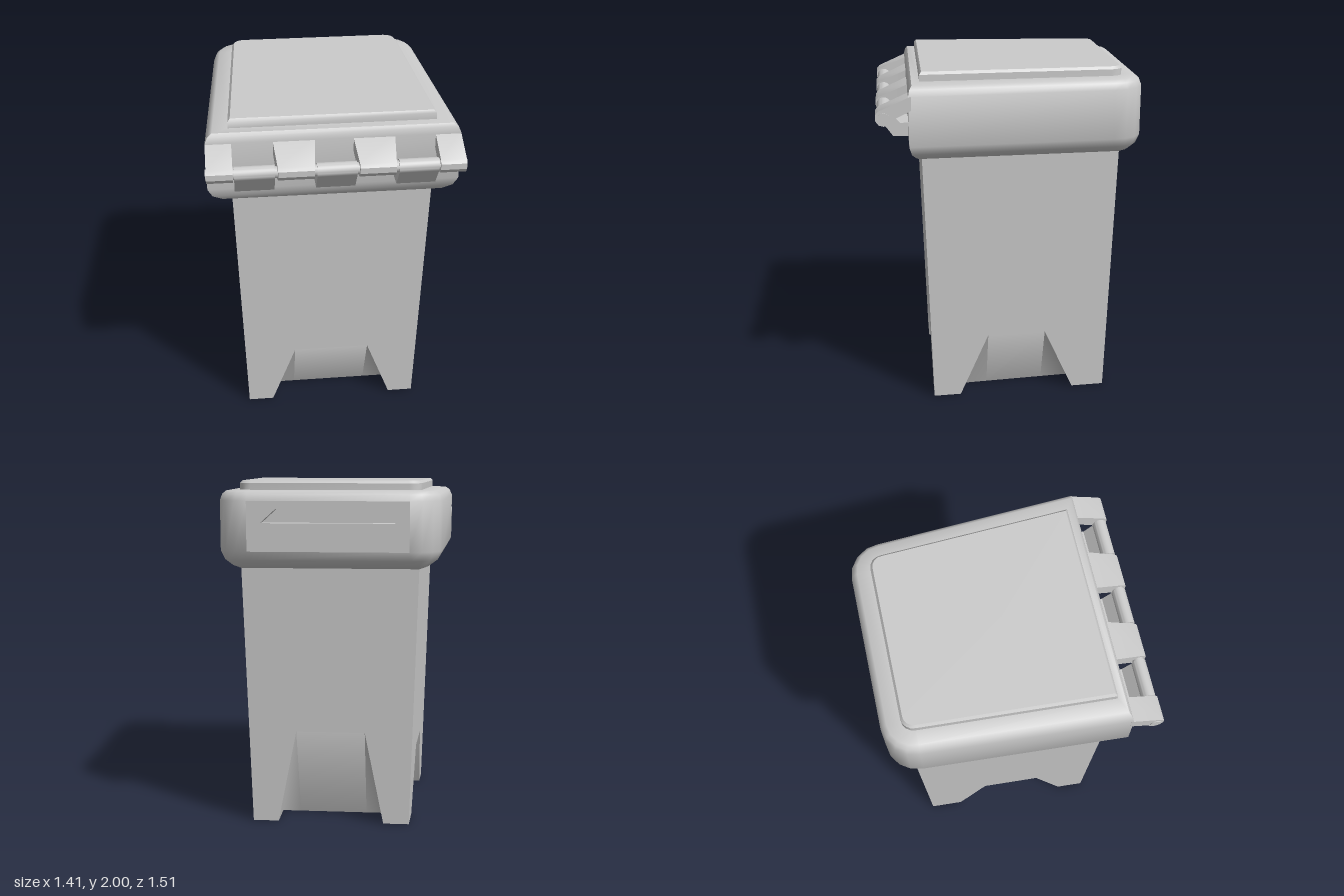
import * as THREE from 'three';
import { toCreasedNormals } from 'three/addons/utils/BufferGeometryUtils.js';

const mat = new THREE.MeshStandardMaterial({ color: 0xcccccc });
const V = (x, y, z) => new THREE.Vector3(x, y, z);

function addMesh(parent, name, geo) {
  const mesh = new THREE.Mesh(geo, mat);
  mesh.name = name;
  parent.add(mesh);
  return mesh;
}

// Geometry from a list of triangles, each three Vector3s
function fromTriangles(tris) {
  const geo = new THREE.BufferGeometry().setFromPoints(tris.flat());
  geo.computeVertexNormals();
  return geo;
}

// Plan outline: straight front, tapering sides, rounded back corners
const ARC = 4;
function outline(xFront, xBack, zFront, zBack, r) {
  const right = [];
  for (let i = 0; i <= ARC; i++) {
    const a = (i / ARC) * Math.PI / 2;
    right.push([xBack - r + r * Math.cos(a), zBack + r - r * Math.sin(a)]);
  }
  const left = right.map(([x, z]) => [-x, z]).reverse();
  return [[-xFront, zFront], [xFront, zFront], ...right, ...left];
}
const blend = (a, b, t, y) => a.map(([x, z], i) =>
  V(x + (b[i][0] - x) * t, y, z + (b[i][1] - z) * t));

// Skin over stacked loops; skip(row, segment) leaves a quad open
function loft(loops, capped, skip = () => false) {
  const tris = [], n = loops[0].length;
  for (let r = 0; r < loops.length - 1; r++) {
    for (let i = 0; i < n; i++) {
      if (skip(r, i)) continue;
      const j = (i + 1) % n, lo = loops[r], hi = loops[r + 1];
      tris.push([lo[i], lo[j], hi[j]], [lo[i], hi[j], hi[i]]);
    }
  }
  if (capped) {
    const top = loops[loops.length - 1], c = V(0, top[0].y, 0);
    top.forEach((p, i) => tris.push([p, top[(i + 1) % n], c]));
  }
  return toCreasedNormals(fromTriangles(tris), 0.7);
}

// Bin narrowing to the floor and to the back, with a sloping recess in the foot of each side
function buildBody(group) {
  const H = 1.515, FLARE = 0.0298;
  const corner = (sx, sz, y) => (sz > 0
    ? V(sx * (0.52 + FLARE * y), y, 0.46 + FLARE * y)
    : V(sx * (0.46 + FLARE * y), y, -0.585 - FLARE * y));
  const inner = (sx, sz) => (sz > 0 ? V(sx * 0.37, 0, 0.3) : V(sx * 0.31, 0, -0.39));
  // Point on the line PQ where the given axis reaches a value
  const at = (P, Q, axis, value) => P.clone().lerp(Q, (value - P[axis]) / (Q[axis] - P[axis]));
  const walls = [], floor = [];

  // Corner pairs, left to right as seen from outside
  const sides = [
    [[-1, 1], [1, 1]], [[1, 1], [1, -1]], [[1, -1], [-1, -1]], [[-1, -1], [-1, 1]],
  ];
  for (const [a, b] of sides) {
    const alongX = a[1] === b[1], isBack = alongX && a[1] < 0;
    const out = alongX ? V(0, 0, a[1]) : V(a[0], 0, 0);
    const axis = alongX ? 'x' : 'z', apexY = isBack ? 0.55 : 0.385;
    const end = ([sx, sz]) => {
      const apexAt = alongX ? sx * (isBack ? 0.2 : 0.225) : (sz > 0 ? 0.13 : -0.215);
      return {
        low: corner(sx, sz, 0), top: corner(sx, sz, H), inner: inner(sx, sz),
        cut: at(corner(...a, 0), corner(...b, 0), axis, inner(sx, sz)[axis]),
        apex: at(corner(...a, apexY), corner(...b, apexY), axis, apexAt),
        base: at(inner(...a), inner(...b), axis, apexAt),
      };
    };
    const p = end(a), q = end(b);
    walls.push(
      [p.low, p.cut, p.apex], [p.low, p.apex, p.top],
      [p.apex, q.apex, q.top], [p.apex, q.top, p.top],
      [q.apex, q.cut, q.low], [q.apex, q.low, q.top]);

    // Leg cheeks either side of the recess
    for (const [e, index] of [[p, [0, 1, 3, 1, 2, 3]], [q, [1, 0, 3, 2, 1, 3]]]) {
      const cheek = new THREE.BufferGeometry().setFromPoints([e.cut, e.inner, e.base, e.apex]);
      cheek.setIndex(index).computeVertexNormals();
      addMesh(group, 'legCheek', cheek);
    }
    // Recess panel, shaded smoothly into the wall above
    const panel = fromTriangles([[p.base, q.base, q.apex], [p.base, q.apex, p.apex]]);
    for (const i of [2, 4, 5]) panel.attributes.normal.setXYZ(i, out.x, out.y, out.z);
    addMesh(group, 'footRecess', panel);

    // One sole per leg, at the left corner of each side
    const o = p.low, i = p.inner;
    const prev = alongX ? V(o.x, 0, i.z) : V(i.x, 0, o.z);
    floor.push([o, i, p.cut], [o, prev, i]);
  }
  const [f1, f2, f3, f4] = [[-1, 1], [-1, -1], [1, -1], [1, 1]].map((s) => inner(...s));
  floor.push([f1, f2, f3], [f1, f3, f4]);
  addMesh(group, 'binBody', fromTriangles(walls));
  addMesh(group, 'binFloor', fromTriangles(floor));
}

function buildLid(group) {
  const outer = outline(0.7, 0.632, 0.575, -0.755, 0.18);
  const rim = outline(0.565, 0.505, 0.505, -0.63, 0);
  const step = outline(0.572, 0.515, 0.51, -0.64, 0.07);
  const stepTop = outline(0.558, 0.502, 0.498, -0.627, 0.06);
  const loops = [
    ...[[1.508, 1], [1.525, 0.6], [1.56, 0.2], [1.61, 0]].map(([y, t]) => blend(outer, rim, t, y)),
    ...[[1.89, 0], [1.925, 0.12], [1.943, 0.32], [1.948, 1]].map(([y, t]) => blend(outer, step, t, y)),
  ];
  // The flat back is left open for the grip panel
  addMesh(group, 'lidShell', loft(loops, false, (r, i) => r === 3 && i === 2 + ARC));
  addMesh(group, 'lidTopPanel', loft([
    blend(step, step, 0, 1.945), blend(step, step, 0, 1.985), blend(step, stepTop, 1, 2),
  ], true));

  // Back panel with a trapezoid grip slot
  const toShape = (Type, pts) => new Type(pts.map(([x, y]) => new THREE.Vector2(x, y)));
  const shape = toShape(THREE.Shape, [[-0.452, 1.61], [0.452, 1.61], [0.452, 1.89], [-0.452, 1.89]]);
  shape.holes.push(toShape(THREE.Path, [[-0.375, 1.768], [-0.29, 1.845], [0.29, 1.845], [0.375, 1.768]]));
  const grip = new THREE.ExtrudeGeometry(shape, { depth: 0.07, bevelEnabled: false });
  addMesh(group, 'gripPanel', grip).position.z = -0.755;
  addMesh(group, 'gripBacking', new THREE.BoxGeometry(0.9, 0.27, 0.02)).position.set(0, 1.75, -0.676);
}

function buildHinge(group) {
  const Z = 0.71, Y = 1.775;
  // Side profiles (z, y), extruded along x
  const lug = new THREE.Shape([
    [0.56, 1.815], [0.668, 1.762], [0.685, 1.738], [0.71, 1.73], [0.738, 1.738],
    [0.755, 1.762], [0.755, 1.795], [0.738, 1.814], [0.56, 1.893],
  ].map(([z, y]) => new THREE.Vector2(z, y)));
  const tab = new THREE.Shape();
  tab.moveTo(0.55, 1.64);
  tab.lineTo(0.66, 1.64);
  tab.lineTo(0.738, 1.746);
  tab.absarc(Z, Y, 0.04, -0.7, Math.PI * 1.05, false);
  tab.lineTo(0.62, 1.715);
  tab.lineTo(0.55, 1.715);
  const extrude = (name, profile, x0, x1) => {
    const geo = new THREE.ExtrudeGeometry(profile, { depth: x1 - x0, bevelEnabled: false, curveSegments: 10 });
    geo.rotateY(-Math.PI / 2).translate(x1, 0, 0);
    // Middle lugs narrow slightly towards the barrel
    if (name === 'lidLug' && x0 > -0.5 && x1 < 0.5) {
      const p = geo.attributes.position, mid = (x0 + x1) / 2;
      for (let i = 0; i < p.count; i++) {
        const s = 1 - 0.15 * THREE.MathUtils.clamp((p.getZ(i) - 0.56) / 0.19, 0, 1);
        p.setX(i, mid + (p.getX(i) - mid) * s);
      }
    }
    addMesh(group, name, toCreasedNormals(geo, 0.6));
  };
  for (const [a, b] of [[-0.7, -0.558], [-0.335, -0.105], [0.105, 0.335], [0.558, 0.7]]) extrude('lidLug', lug, a, b);
  for (const x of [-0.443, 0, 0.443]) extrude('hingeTab', tab, x - 0.108, x + 0.108);
  const pin = new THREE.CylinderGeometry(0.032, 0.032, 1.41, 16).rotateZ(Math.PI / 2);
  addMesh(group, 'hingePin', pin).position.set(0, Y, Z);
}

export function createModel() {
  const model = new THREE.Group();
  model.name = 'wasteBin';
  for (const [name, build] of [['body', buildBody], ['lid', buildLid], ['hinge', buildHinge]]) {
    const part = new THREE.Group();
    part.name = name;
    build(part);
    model.add(part);
  }
  return model;
}
